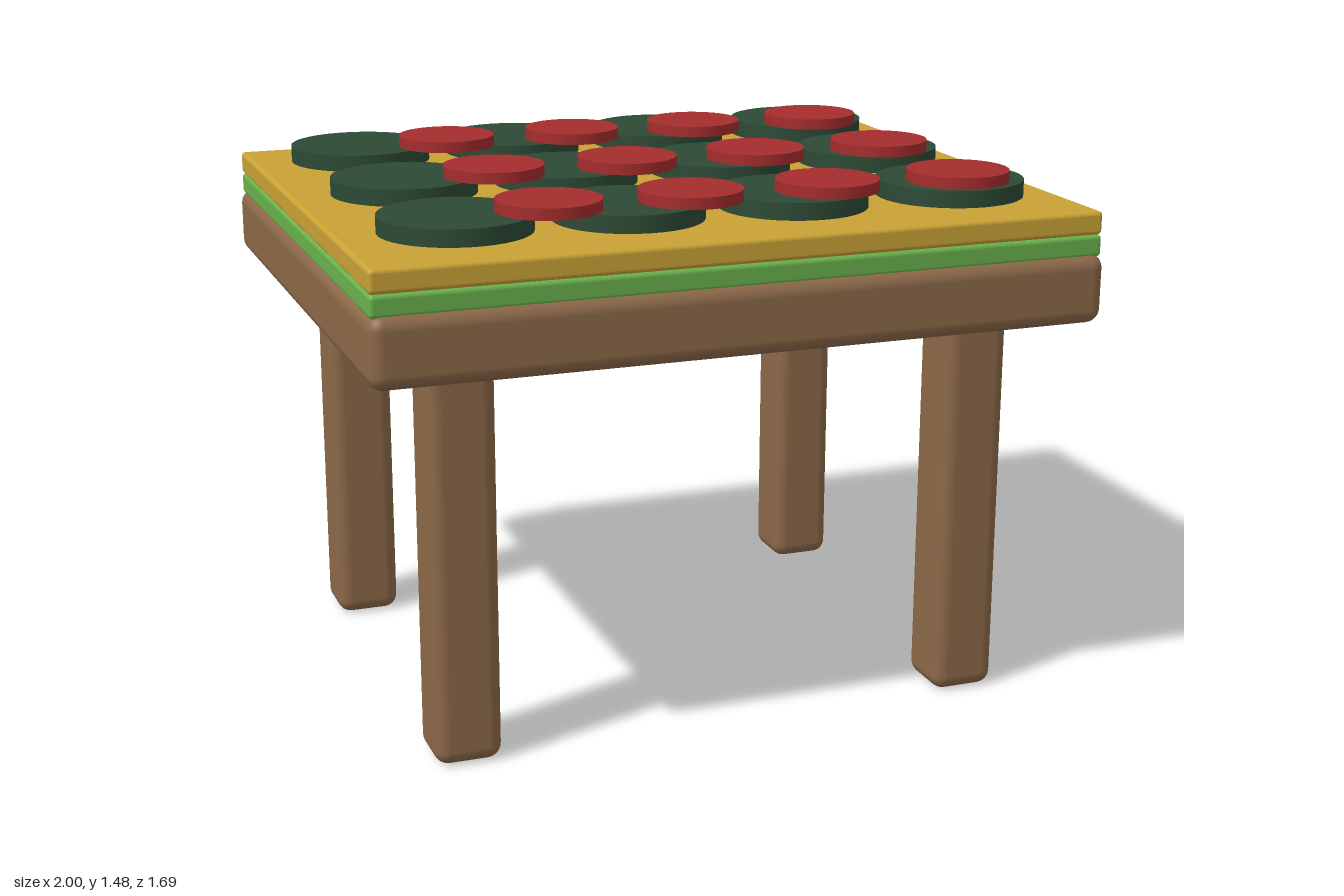
import * as THREE from 'three';
import { RoundedBoxGeometry } from 'three/addons/geometries/RoundedBoxGeometry.js';

function material(name, color) {
  const m = new THREE.MeshStandardMaterial({ color });
  m.name = name;
  return m;
}

export function createModel() {
  const group = new THREE.Group();
  const wood = material('wood', 0x8b6848);
  const lime = material('lime green', 0x6ab04c);
  const gold = material('golden yellow', 0xc9a235);
  const darkGreen = material('dark green', 0x2d4a35);
  const red = material('red', 0xa52c2c);

  const add = (name, geometry, mat, x, y, z) => {
    const mesh = new THREE.Mesh(geometry, mat);
    mesh.name = name;
    mesh.position.set(x, y, z);
    group.add(mesh);
  };

  // Rounded slab spanning y0..y1
  const slab = (name, w, d, y0, y1, r, mat) =>
    add(name, new RoundedBoxGeometry(w, y1 - y0, d, 4, r), mat, 0, (y0 + y1) / 2, 0);

  // Table top and the two layers on it
  slab('tableTop', 2, 1.69, 1.09, 1.28, 0.04, wood);
  slab('greenLayer', 1.985, 1.65, 1.27, 1.33, 0.012, lime);
  slab('yellowLayer', 1.985, 1.65, 1.33, 1.393, 0.012, gold);

  // Legs
  const leg = new RoundedBoxGeometry(0.183, 1.1, 0.183, 4, 0.04);
  for (const x of [-0.725, 0.725])
    for (const z of [-0.573, 0.573]) add('leg', leg, wood, x, 0.55, z);

  // Grids of discs
  const discs = (name, r, y0, y1, xs, zs, mat) => {
    const disc = new THREE.CylinderGeometry(r, r, y1 - y0, 48);
    for (const z of zs) for (const x of xs) add(name, disc, mat, x, (y0 + y1) / 2, z);
  };
  discs('largeDisc', 0.2, 1.405, 1.451, [-0.695, -0.233, 0.229, 0.69], [-0.522, 0, 0.522], darkGreen);
  discs('smallDisc', 0.138, 1.451, 1.482, [-0.463, -0.079, 0.306, 0.69], [-0.415, 0.077, 0.569], red);

  return group;
}
